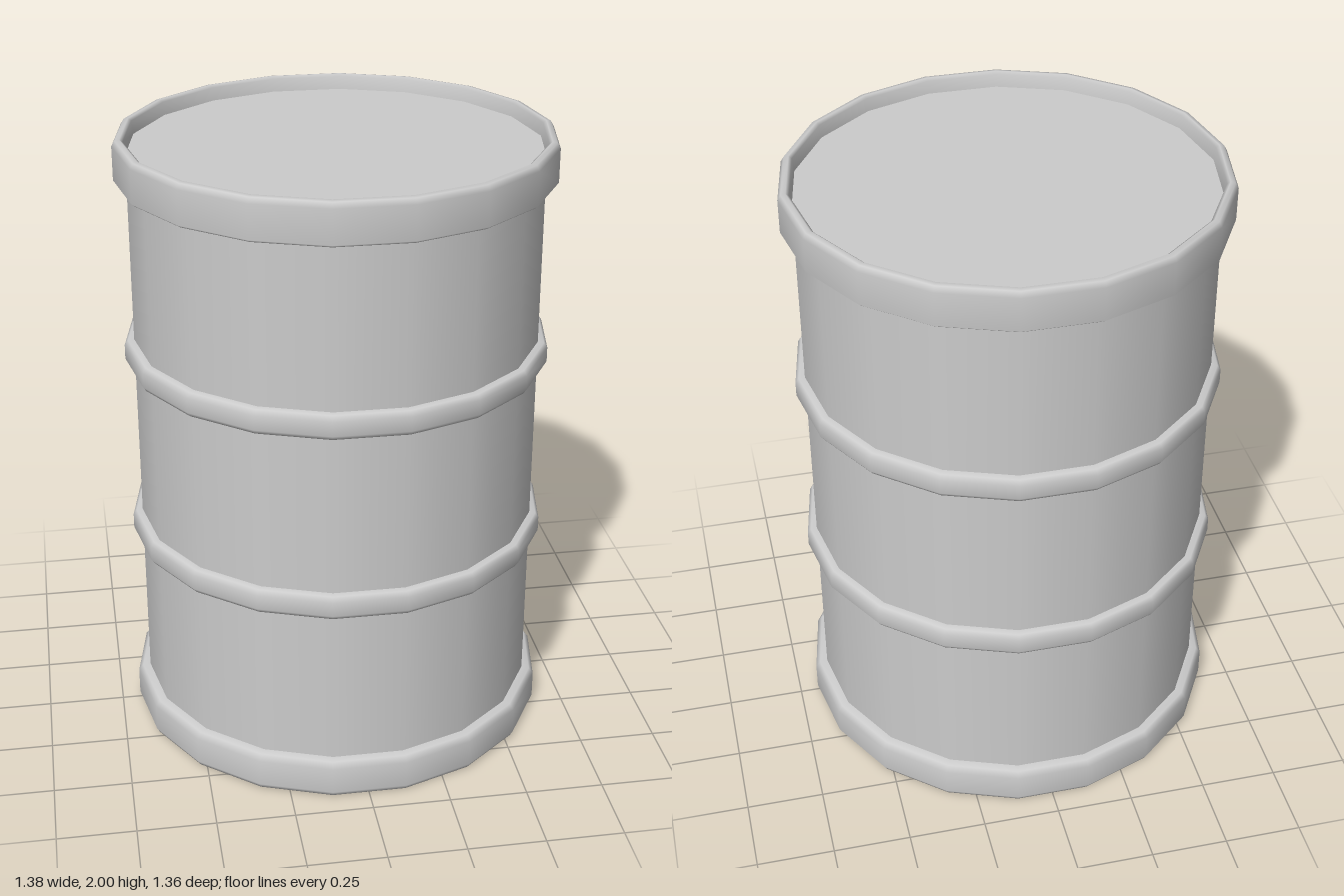
import * as THREE from 'three';

const SIDES = 18;

// Revolves a profile of [radius, height] pairs, with a corner on the x axis
function turned(name, profile, material) {
  const points = profile.map(([r, y]) => new THREE.Vector2(r, y));
  const geometry = new THREE.LatheGeometry(points, SIDES, Math.PI / 2);
  const mesh = new THREE.Mesh(geometry, material);
  mesh.name = name;
  return mesh;
}

export function createModel() {
  const barrel = new THREE.Group();
  barrel.name = 'barrel';
  const metal = new THREE.MeshStandardMaterial({ color: 0xcccccc });

  // Straight wall
  barrel.add(turned('wall', [[0.65, 0.1], [0.65, 1.88]], metal));

  // Two rolled bands around the wall
  for (const [name, y] of [['lowerBand', 0.695], ['upperBand', 1.305]]) {
    const band = turned(name, [
      [0.645, -0.04], [0.67, -0.04], [0.681, -0.025],
      [0.681, 0.022], [0.67, 0.038], [0.645, 0.04],
    ], metal);
    band.position.y = y;
    barrel.add(band);
  }

  // Bottom rim, wrapping under to the recessed floor
  barrel.add(turned('bottomRim', [
    [0.65, 0.05], [0.655, 0.008], [0.665, 0], [0.68, 0.003], [0.69, 0.02],
    [0.69, 0.108], [0.675, 0.127], [0.645, 0.13],
  ], metal));

  // Top rim, wrapping over to the recessed lid
  barrel.add(turned('topRim', [
    [0.645, 1.865], [0.68, 1.865], [0.69, 1.873],
    [0.69, 1.98], [0.68, 1.997], [0.665, 2], [0.655, 1.992], [0.65, 1.95],
  ], metal));

  // Recessed end discs
  barrel.add(turned('floor', [[0, 0.05], [0.65, 0.05]], metal));
  barrel.add(turned('lid', [[0.65, 1.95], [0, 1.95]], metal));

  return barrel;
}
